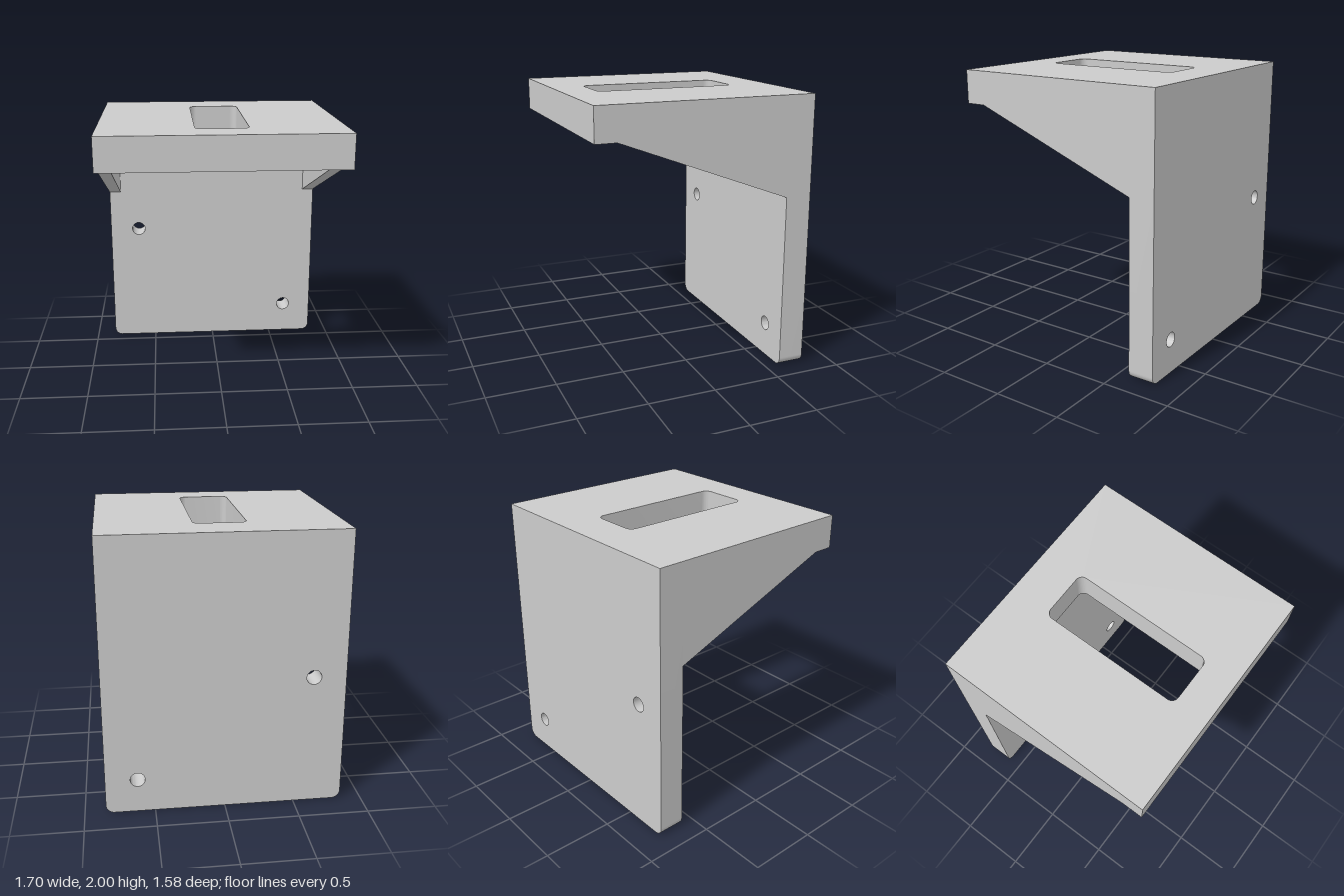
import * as THREE from 'three';
import { toCreasedNormals } from 'three/addons/utils/BufferGeometryUtils.js';

const W = 0.85, BACK = -0.79, FRONT = 0.79; // half width, depth limits
const PLATE_FRONT = -0.6, SHELF_Y = 1.76, TOP = 2, RIB = 0.09;

// Rectangle outline with separate corner radii at the bottom and top
function roundedRect(path, x0, y0, x1, y1, rBottom, rTop) {
  path.moveTo(x0 + rBottom, y0);
  path.lineTo(x1 - rBottom, y0);
  if (rBottom) path.absarc(x1 - rBottom, y0 + rBottom, rBottom, -Math.PI / 2, 0);
  path.lineTo(x1, y1 - rTop);
  if (rTop) path.absarc(x1 - rTop, y1 - rTop, rTop, 0, Math.PI / 2);
  path.lineTo(x0 + rTop, y1);
  if (rTop) path.absarc(x0 + rTop, y1 - rTop, rTop, Math.PI / 2, Math.PI);
  path.lineTo(x0, y0 + rBottom);
  if (rBottom) path.absarc(x0 + rBottom, y0 + rBottom, rBottom, Math.PI, Math.PI * 1.5);
  return path;
}

function extrude(shape, depth) {
  const geometry = new THREE.ExtrudeGeometry(shape, { depth, bevelEnabled: false, curveSegments: 16 });
  return toCreasedNormals(geometry, Math.PI / 6);
}

export function createModel() {
  const model = new THREE.Group();
  model.name = 'angleBracket';
  const material = new THREE.MeshStandardMaterial({ color: 0xcccccc });
  const add = (name, geometry) => {
    const mesh = new THREE.Mesh(geometry, material);
    mesh.name = name;
    model.add(mesh);
    return mesh;
  };

  // Upright plate with rounded lower corners and two screw holes
  const plate = roundedRect(new THREE.Shape(), -W, 0, W, SHELF_Y, 0.06, 0);
  for (const [x, y] of [[-0.62, 0.965], [0.62, 0.25]]) {
    plate.holes.push(new THREE.Path().absarc(x, y, 0.053, 0, Math.PI * 2, true));
  }
  add('backPlate', extrude(plate, PLATE_FRONT - BACK)).position.z = BACK;

  // Horizontal shelf with a long rounded slot
  const shelf = roundedRect(new THREE.Shape(), -W, -FRONT, W, -BACK, 0, 0);
  shelf.holes.push(roundedRect(new THREE.Path(), -0.185, -0.545, 0.185, 0.49, 0.05, 0.05));
  add('topShelf', extrude(shelf, TOP - SHELF_Y).rotateX(-Math.PI / 2)).position.y = SHELF_Y;

  // Triangular ribs bracing the shelf on both sides
  const rib = new THREE.Shape([
    new THREE.Vector2(PLATE_FRONT, 1.285),
    new THREE.Vector2(0.64, SHELF_Y),
    new THREE.Vector2(PLATE_FRONT, SHELF_Y),
  ]);
  for (const [name, x] of [['leftRib', W], ['rightRib', RIB - W]]) {
    add(name, extrude(rib, RIB).rotateY(-Math.PI / 2)).position.x = x;
  }
  return model;
}
